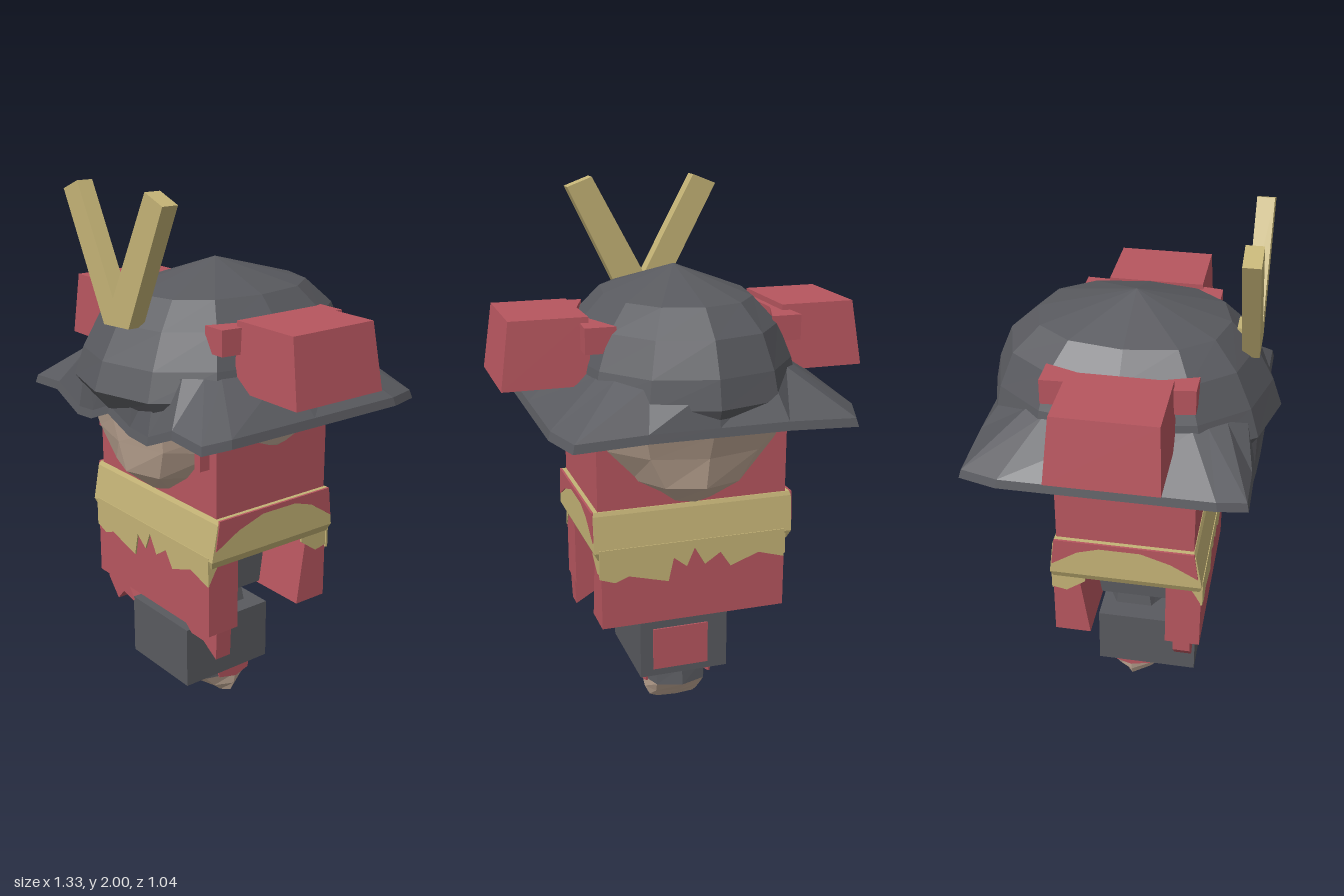
import * as THREE from 'three';

const paint = (name, color) => {
  const m = new THREE.MeshStandardMaterial({ color });
  m.name = name;
  return m;
};

export function createModel() {
  const red = paint('red cloth', 0xb7565f);
  const gold = paint('gold', 0xc4b376);
  const skin = paint('skin', 0xc3ab98);
  const dark = paint('dark iron', 0x595a5f);
  const model = new THREE.Group();
  model.name = 'helmetedWarrior';

  const add = (name, geometry, material) => {
    const mesh = new THREE.Mesh(geometry, material);
    mesh.name = name;
    model.add(mesh);
    return mesh;
  };

  // Box given by its limits
  const box = (name, mat, x0, x1, y0, y1, z0, z1) =>
    add(name, new THREE.BoxGeometry(x1 - x0, y1 - y0, z1 - z0)
      .translate((x0 + x1) / 2, (y0 + y1) / 2, (z0 + z1) / 2), mat);

  // Outline in the xy plane, extruded from z0 to z1
  const slab = (pts, z0, z1) => new THREE.ExtrudeGeometry(
    new THREE.Shape(pts.map(([x, y]) => new THREE.Vector2(x, y))),
    { depth: z1 - z0, bevelEnabled: false }).translate(0, 0, z0);

  // Outline in z and y, laid as a thin plate on the side at x
  const sidePlate = (name, mat, pts, x) =>
    add(name, slab(pts, -0.004, 0.004).rotateY(-Math.PI / 2).translate(x, 0, 0), mat);

  // Faceted skin over rings of points, listed from bottom to top
  const loft = (rings, capped = true) => {
    const pos = [];
    const n = rings[0].length;
    const tri = (...p) => p.forEach((v) => pos.push(...v));
    for (let r = 0; r < rings.length - 1; r++) {
      const a = rings[r], b = rings[r + 1];
      for (let i = 0; i < n; i++) {
        const j = (i + 1) % n;
        tri(a[i], a[j], b[j]);
        tri(a[i], b[j], b[i]);
      }
    }
    if (capped) {
      const lo = rings[0], hi = rings[rings.length - 1];
      for (let i = 1; i < n - 1; i++) {
        tri(lo[0], lo[i + 1], lo[i]);
        tri(hi[0], hi[i], hi[i + 1]);
      }
    }
    const g = new THREE.BufferGeometry();
    g.setAttribute('position', new THREE.Float32BufferAttribute(pos, 3));
    g.computeVertexNormals();
    return g;
  };

  // Slightly squared ring with half width rx and separate front and back depths
  const full = (v) => Math.sign(v) * Math.abs(v) ** 0.88;
  const ring = (n, y, rx, front, back) => Array.from({ length: n }, (_, i) => {
    const a = (i / n) * Math.PI * 2;
    const c = full(Math.cos(a));
    return [rx * full(Math.sin(a)), y, c > 0 ? front * c : back * c];
  });
  const rounds = (n, rows) => loft(rows.map((row) => ring(n, ...row)));
  const rectRing = (y, x0, x1, z0, z1) => [[x0, y, z1], [x1, y, z1], [x1, y, z0], [x0, y, z0]];

  // Head
  add('head', rounds(12, [
    [0.91, 0.12, 0.285, 0.26], [1.0, 0.25, 0.40, 0.38], [1.12, 0.362, 0.43, 0.41],
    [1.21, 0.405, 0.45, 0.45], [1.3, 0.38, 0.42, 0.44],
  ]), skin);

  // Helmet bowl
  add('helmetBowl', rounds(12, [
    [1.23, 0.39, 0.45, 0.48], [1.32, 0.42, 0.52, 0.52], [1.42, 0.395, 0.485, 0.50],
    [1.54, 0.345, 0.42, 0.45], [1.63, 0.26, 0.33, 0.35], [1.725, 0.002, 0.002, 0.002],
  ]), dark);

  // Square flared brim with a waved front edge
  const half = [
    [0, 1.23, 0.47], [0.12, 1.18, 0.465], [0.22, 1.17, 0.46], [0.36, 1.23, 0.46],
    [0.52, 1.22, 0.46], [0.55, 1.23, 0.36], [0.55, 1.23, 0], [0.55, 1.23, -0.38],
    [0.50, 1.22, -0.52], [0.25, 1.23, -0.52], [0, 1.23, -0.52],
  ];
  const edge = [...half, ...half.slice(1, -1).reverse().map(([x, y, z]) => [-x, y, z])];
  const inner = (y, rx, rz) => edge.map(([x, , z]) => {
    const a = Math.atan2(x / rx, z / rz);
    return [rx * full(Math.sin(a)), y, rz * full(Math.cos(a))];
  });
  const lip = edge.map(([x, y, z]) => [x * 0.985, y + 0.03, z * 0.985]);
  add('helmetBrim', loft([inner(1.25, 0.36, 0.42), edge, lip, inner(1.4, 0.395, 0.47)], false), dark);

  // V-shaped crest and its foot on the bowl
  add('crest', slab([
    [-0.06, 1.53], [0.09, 1.54], [0.295, 1.965], [0.2, 2.0],
    [0, 1.63], [-0.2, 2.0], [-0.29, 1.965],
  ], 0.375, 0.435), gold);
  box('crestFoot', gold, -0.01, 0.08, 1.54, 1.61, 0.35, 0.39);

  // Helmet side guards, their mounting straps and cheek tabs
  for (const s of [1, -1]) {
    const span = (a, b) => (s > 0 ? [a, b] : [-b, -a]);
    add('sideGuard', loft([
      rectRing(1.35, ...span(0.355, 0.665), -0.185, 0.195),
      rectRing(1.585, ...span(0.355, 0.63), -0.165, 0.185),
    ]), red);
    const strap = slab([
      [0.39, -0.255], [0.28, -0.255], [0.335, -0.1], [0.335, 0.1],
      [0.28, 0.26], [0.37, 0.26], [0.385, 0.15], [0.385, -0.15],
    ].map(([x, z]) => [s * x, z]), 0, 0.09);
    add('guardStrap', strap.rotateX(Math.PI / 2).translate(0, 1.565, 0), red);
    box('cheekTab', red, s * 0.3 - 0.015, s * 0.3 + 0.015, 1.07, 1.18, 0.24, 0.31);
  }

  // Torso and belt, with cloth showing above the arched belt sides
  box('torso', red, -0.36, 0.355, 0.86, 1.21, -0.23, 0.27);
  add('belt', loft([
    rectRing(0.72, -0.365, 0.36, -0.245, 0.295), rectRing(0.75, -0.38, 0.375, -0.255, 0.305),
    rectRing(0.885, -0.38, 0.375, -0.24, 0.28), rectRing(0.9, -0.375, 0.37, -0.235, 0.272),
  ]), gold);
  for (const x of [0.375, -0.38]) {
    sidePlate('beltSideCloth', red, [
      [0.274, 0.9], [-0.235, 0.9], [-0.247, 0.79], [-0.15, 0.855], [-0.07, 0.88],
      [0.08, 0.88], [0.19, 0.845], [0.29, 0.79],
    ], x);
  }

  // Front and back skirt panels with a ragged gold border
  box('frontSkirt', red, -0.355, 0.35, 0.45, 0.76, 0.17, 0.3);
  add('backSkirt', loft([
    rectRing(0.45, -0.355, 0.35, -0.25, -0.115), rectRing(0.76, -0.355, 0.35, -0.25, -0.16),
  ]), red);
  const ragged = [
    [-0.358, 0.76], [-0.358, 0.65], [-0.3, 0.63], [-0.25, 0.65], [-0.1, 0.61], [-0.08, 0.7],
    [-0.03, 0.66], [0, 0.73], [0.04, 0.66], [0.1, 0.7], [0.14, 0.64], [0.25, 0.68],
    [0.352, 0.65], [0.352, 0.76],
  ];
  add('frontBorder', slab(ragged, 0.299, 0.306), gold);
  add('backBorder', slab(ragged.map(([x, y]) => [-x, y]), -0.257, -0.249), gold);
  for (const x of [0.349, -0.354]) {
    sidePlate('frontSideBorder', gold, [[0.25, 0.74], [0.275, 0.7], [0.303, 0.65], [0.303, 0.74]], x);
    sidePlate('backSideBorder', gold, [[-0.13, 0.74], [-0.13, 0.7], [-0.2, 0.65], [-0.253, 0.66], [-0.253, 0.74]], x);
  }

  // Torn cloth below the front panel
  const tears = [
    [[-0.355, 0.455], [-0.355, 0.41], [-0.29, 0.335], [-0.25, 0.38], [-0.16, 0.36], [-0.21, 0.42], [-0.24, 0.455]],
    [[0.24, 0.455], [0.15, 0.43], [0.2, 0.39], [0.27, 0.39], [0.345, 0.345], [0.35, 0.455]],
  ];
  for (const pts of tears) add('tornCloth', slab(pts, 0.2, 0.265), red);

  // Inner core, leg and shin guard
  box('innerCore', dark, -0.13, 0.13, 0.46, 0.74, -0.16, 0.17);
  add('thigh', rounds(6, [[0.36, 0.12, 0.15, 0.12], [0.5, 0.09, 0.1, 0.1]]), dark);
  box('shinGuard', dark, -0.18, 0.17, 0.15, 0.385, -0.12, 0.265);
  box('shinPatch', red, -0.1, 0.12, 0.18, 0.35, -0.126, -0.119);

  // Foot
  add('foot', rounds(8, [
    [0, 0.1, 0.04, 0.03], [0.04, 0.12, 0.1, 0.07], [0.09, 0.13, 0.16, 0.12],
  ]), skin);
  add('ankle', rounds(8, [[0.09, 0.13, 0.16, 0.12], [0.16, 0.13, 0.155, 0.11]]), dark);
  for (const x of [0.129, -0.129]) {
    sidePlate('anklePatch', red, [[0.09, 0.15], [0.08, 0.1], [0, 0.08], [-0.06, 0.1], [-0.07, 0.15]], x);
  }
  add('toePatch', slab([[-0.03, 0.15], [0, 0.1], [0.03, 0.13], [0.07, 0.11], [0.08, 0.15]], 0.153, 0.161), red);
  return model;
}
